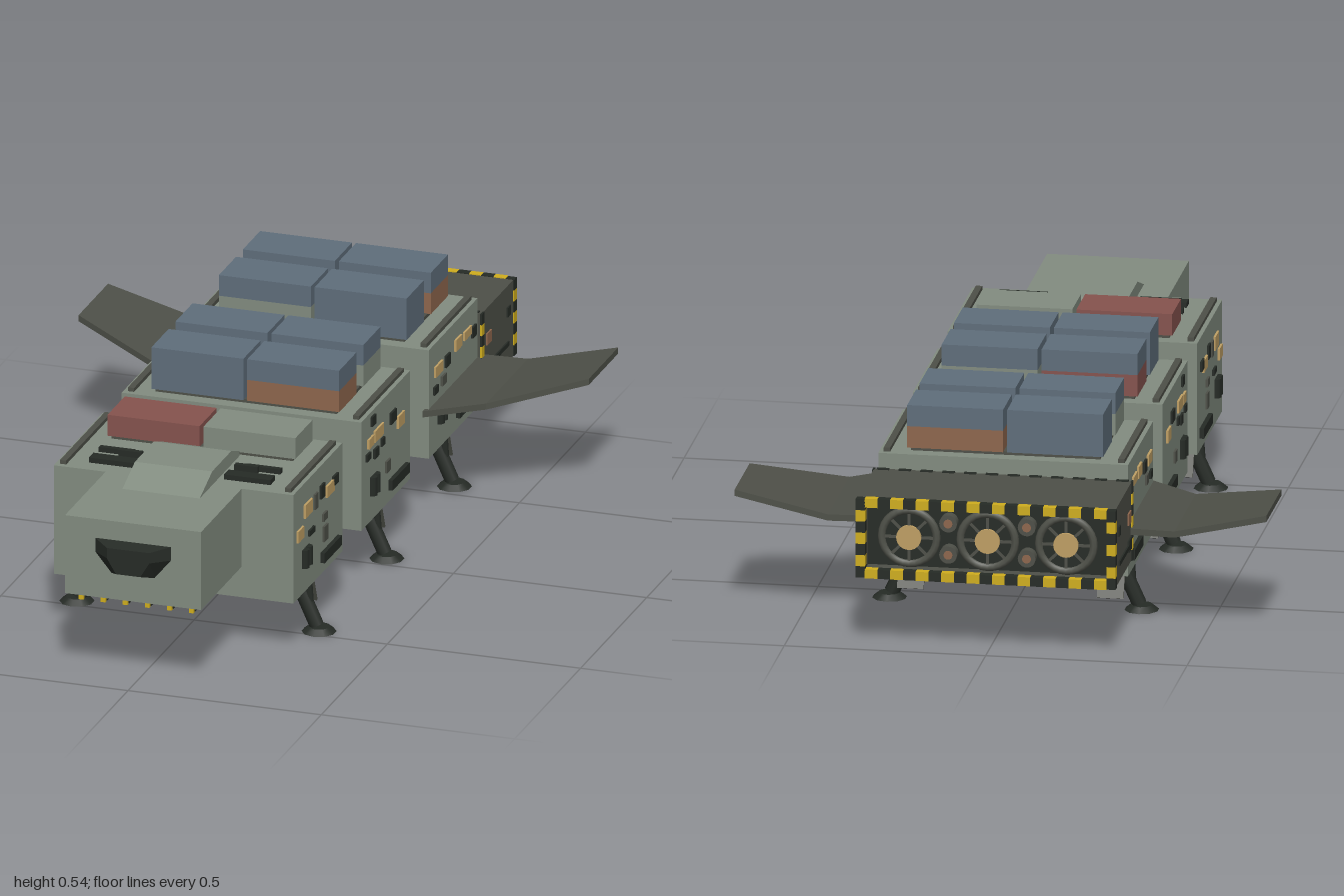
import * as THREE from 'three';

const mat = (name, color) => {
  const m = new THREE.MeshStandardMaterial({ color });
  m.name = name;
  return m;
};

export function createModel() {
  const hull = mat('hull green', 0x828c80);
  const olive = mat('dark olive', 0x4e5048);
  const black = mat('near black', 0x262b26);
  const blue = mat('container blue', 0x5f6e7b);
  const red = mat('container red', 0x86534e);
  const rust = mat('container rust', 0x8e664d);
  const tan = mat('tan panel', 0xbf9f64);
  const yellow = mat('warning yellow', 0xd0ae1e);

  const root = new THREE.Group();
  root.name = 'cargoShip';

  const add = (name, geo, m, x = 0, y = 0, z = 0, parent = root) => {
    const mesh = new THREE.Mesh(geo, m);
    mesh.name = name;
    mesh.position.set(x, y, z);
    parent.add(mesh);
    return mesh;
  };
  const box = (name, m, w, h, d, x, y, z, parent) =>
    add(name, new THREE.BoxGeometry(w, h, d), m, x, y, z, parent);
  // Cylinder between two points
  const rod = (name, m, a, b, r, parent) => {
    const p = new THREE.Vector3(...a), q = new THREE.Vector3(...b), d = q.clone().sub(p);
    const mesh = add(name, new THREE.CylinderGeometry(r, r, d.length(), 8), m, 0, 0, 0, parent);
    mesh.position.copy(p).add(q).multiplyScalar(0.5);
    mesh.quaternion.setFromUnitVectors(new THREE.Vector3(0, 1, 0), d.normalize());
    return mesh;
  };
  // Solid skinned over equal cross-section rings, with end caps
  const loft = (rings, flip) => {
    const pos = [], n = rings[0].length;
    const tri = (a, b, c) => pos.push(...a, ...(flip ? c : b), ...(flip ? b : c));
    for (let i = 0; i < rings.length - 1; i++)
      for (let j = 0; j < n; j++) {
        const k = (j + 1) % n, A = rings[i], B = rings[i + 1];
        tri(A[j], A[k], B[k]);
        tri(A[j], B[k], B[j]);
      }
    const L = rings[rings.length - 1];
    for (let j = 1; j < n - 1; j++) {
      tri(rings[0][0], rings[0][j + 1], rings[0][j]);
      tri(L[0], L[j], L[j + 1]);
    }
    const g = new THREE.BufferGeometry();
    g.setAttribute('position', new THREE.Float32BufferAttribute(pos, 3));
    g.computeVertexNormals();
    return g;
  };

  // Side details per module: [material, z offset, y, length, height]
  const details = [
    [[tan, 0.14, 0.305, 0.045, 0.03], [tan, 0.08, 0.352, 0.055, 0.035], [tan, -0.085, 0.343, 0.055, 0.03],
      [black, -0.028, 0.358, 0.03, 0.035], [black, -0.125, 0.352, 0.035, 0.025], [olive, 0.022, 0.35, 0.022, 0.04],
      [black, 0.055, 0.283, 0.04, 0.015], [olive, -0.045, 0.285, 0.03, 0.02], [olive, -0.05, 0.24, 0.03, 0.04]],
    [[tan, 0.06, 0.353, 0.065, 0.03], [tan, 0.12, 0.35, 0.04, 0.025], [tan, -0.107, 0.325, 0.048, 0.032],
      [black, 0.1, 0.4, 0.03, 0.025], [black, -0.048, 0.355, 0.042, 0.03], [black, 0.14, 0.318, 0.03, 0.018],
      [black, 0.08, 0.308, 0.03, 0.025], [black, 0.03, 0.318, 0.022, 0.02], [olive, -0.01, 0.24, 0.03, 0.03]],
    [[tan, 0.118, 0.352, 0.055, 0.028], [tan, -0.03, 0.365, 0.045, 0.03], [tan, -0.1, 0.365, 0.055, 0.022],
      [black, 0.05, 0.35, 0.035, 0.03], [black, -0.15, 0.352, 0.03, 0.028], [black, 0.14, 0.305, 0.03, 0.02],
      [olive, 0.08, 0.31, 0.03, 0.025], [olive, 0.01, 0.225, 0.03, 0.04]],
  ];
  // Containers per module: [side, row, lower colour, upper colour]
  const cargo = [
    [[-1, -1, red], [1, -1, hull]],
    [[-1, 1, blue, blue], [1, 1, rust, blue], [-1, -1, red, blue], [1, -1, hull, blue]],
    [[-1, 1, hull, blue], [1, 1, blue, blue], [-1, -1, blue, blue], [1, -1, rust, blue]],
  ];

  [0.47, -0.044, -0.555].forEach((zc, i) => {
    const g = new THREE.Group();
    g.name = 'cargoModule' + (i + 1);
    g.position.z = zc;
    root.add(g);
    box('moduleBody', hull, 0.62, 0.285, 0.37, 0, 0.2825, 0, g);
    for (const [s, row, low, high] of cargo[i]) {
      box('lowerContainer', low, 0.238, 0.055, 0.13, s * 0.124, 0.4605, row * 0.091, g);
      if (high) box('upperContainer', high, 0.238, 0.054, 0.13, s * 0.124, 0.515, row * 0.091, g);
    }
    box('cargoBed', olive, 0.47, 0.01, i ? 0.3 : 0.12, 0, 0.429, i ? 0 : -0.091, g);
    for (const s of [-1, 1]) {
      box('roofRail', olive, 0.016, 0.012, 0.34, s * 0.291, 0.429, 0, g);
      for (const [m, z, y, l, h] of details[i])
        box('sidePanel', m, 0.008, h, l, s * 0.3115, y, z, g);
      box('sideVent', black, 0.018, 0.026, 0.13, s * 0.312, 0.184, -0.085, g);
      for (const dz of [0.082, 0.108])
        rod('sideCanister', black, [s * 0.312, 0.207, dz], [s * 0.312, 0.255, dz], 0.013, g);
      // Landing gear with its bay door
      box('gearBay', black, 0.085, 0.006, 0.1, s * 0.25, 0.139, 0, g);
      rod('legStrut', black, [s * 0.25, 0.14, 0], [s * 0.307, 0.015, 0], 0.019, g);
      rod('legBrace', black, [s * 0.285, 0.14, 0], [s * 0.29, 0.07, 0], 0.01, g);
      add('foot', new THREE.CylinderGeometry(0.027, 0.043, 0.013, 10), black, s * 0.313, 0.0065, 0, g);
      const door = box('gearDoor', olive, 0.066, 0.1, 0.006, s * 0.248, 0.095, -0.061, g);
      door.rotation.x = 0.38;
    }
  });

  // Passages joining the modules
  for (const z of [0.213, -0.3]) {
    box('connector', olive, 0.31, 0.18, 0.16, 0, 0.286, z);
    for (const s of [-1, 1])
      for (const y of [0.212, 0.358]) box('connectorLatch', black, 0.018, 0.022, 0.02, s * 0.157, y, z);
  }

  // Cockpit, roof hump and tapered windshield
  box('cockpit', hull, 0.352, 0.205, 0.31, 0, 0.3225, 0.807);
  const hump = [[0.75, 0.42], [0.75, 0.425], [0.655, 0.461], [0.51, 0.461], [0.45, 0.438], [0.45, 0.42]];
  add('cockpitHump', loft([-0.1, 0.1].map(x => hump.map(([z, y]) => [x, y, z])), true), hull);
  const glass = [[-0.1, 0.376], [-0.1, 0.34], [-0.057, 0.288], [0.057, 0.288], [0.1, 0.34], [0.1, 0.376]];
  add('windshield', loft([
    glass.map(([x, y]) => [x, y, 0.96]),
    glass.map(([x, y]) => [x * 0.55, 0.345 + (y - 0.345) * 0.75, 1]),
  ]), black);

  // Row of guns below the cockpit
  for (let i = 0; i < 6; i++) {
    const x = (i - 2.5) * 0.057;
    box('gunPod', black, 0.016, 0.02, 0.11, x, 0.211, 0.875);
    box('gunTip', yellow, 0.012, 0.016, 0.01, x, 0.207, 0.934);
  }
  // Roof vents beside the hump and belly hatch
  for (const s of [-1, 1]) {
    box('roofVent', black, 0.12, 0.014, 0.035, s * 0.175, 0.431, 0.592);
    box('roofVent', black, 0.09, 0.014, 0.014, s * 0.19, 0.431, 0.527);
    box('roofVent', black, 0.06, 0.02, 0.014, s * 0.15, 0.432, 0.54);
  }
  box('bellyHatch', black, 0.09, 0.012, 0.09, 0, 0.136, 0.47);
  for (const d of [-0.026, 0, 0.026]) box('bellySlot', rust, 0.018, 0.006, 0.07, d, 0.13, 0.47);

  // Engine housing, open at the back
  for (const s of [-1, 1]) {
    box('engineSide', olive, 0.02, 0.2, 0.258, s * 0.31, 0.285, -0.869);
    box('enginePlate', olive, 0.6, 0.02, 0.258, 0, 0.285 + s * 0.09, -0.869);
    box('engineSlot', black, 0.006, 0.012, 0.14, s * 0.321, 0.234, -0.87);
    box('engineSlot', black, 0.006, 0.03, 0.04, s * 0.321, 0.235, -0.785);
    box('enginePanel', rust, 0.006, 0.03, 0.035, s * 0.321, 0.305, -0.79);
    box('engineSlot', black, 0.006, 0.025, 0.025, s * 0.321, 0.318, -0.94);
    // Warning stripes on the side edges, back and front
    for (let j = 0; j < 7; j++) {
      const y = 0.285 + (j - 3) * 0.0287, m = j % 2 ? yellow : black;
      box('warningStripe', m, 0.023, 0.0287, 0.02, s * 0.311, y, -0.99);
      box('warningStripe', m, 0.005, 0.0287, 0.02, s * 0.3205, y, -0.745);
    }
    // Warning stripes along the top and bottom back edges
    for (let j = 0; j < 19; j++)
      box('warningStripe', j % 2 ? black : yellow, 0.0316, 0.023, 0.02, (j - 9) * 0.0316, 0.285 + s * 0.0905, -0.99);
  }
  for (let j = 0; j < 12; j++)
    box('engineSeam', black, 0.03, 0.004, 0.01, (j - 5.5) * 0.054, 0.386, -0.746);
  box('engineBulkhead', black, 0.6, 0.16, 0.2, 0, 0.285, -0.85);

  // Thrusters: ring, dish, spokes and glowing core
  const disc = (name, m, r, d, x, y, z) => {
    const c = add(name, new THREE.CylinderGeometry(r, r, d, 24), m, x, y, z);
    c.rotation.x = Math.PI / 2;
  };
  for (const x of [-0.195, 0, 0.195]) {
    add('thrusterRing', new THREE.TorusGeometry(0.068, 0.01, 8, 28), olive, x, 0.285, -0.968);
    disc('thrusterDish', black, 0.062, 0.03, x, 0.285, -0.955);
    for (let k = 0; k < 4; k++) {
      const spoke = box('thrusterSpoke', olive, 0.126, 0.007, 0.01, x, 0.285, -0.968);
      spoke.rotation.z = k * Math.PI / 4;
    }
    disc('thrusterCore', tan, 0.031, 0.03, x, 0.285, -0.963);
  }
  for (const s of [-1, 1])
    for (const y of [0.245, 0.325]) {
      disc('smallNozzle', olive, 0.022, 0.03, s * 0.0975, y, -0.96);
      disc('smallNozzleCore', rust, 0.011, 0.034, s * 0.0975, y, -0.96);
    }

  // Wings with upturned tips: [x, y, front z, back z]
  const ribs = [[0.3, 0.262, -0.352, -0.762], [0.43, 0.262, -0.452, -0.769], [0.66, 0.317, -0.557, -0.78]];
  for (const s of [-1, 1]) {
    const rings = ribs.map(([x, y, f, b]) => [
      [s * x, y - 0.008, f], [s * x, y - 0.008, b], [s * x, y + 0.008, b], [s * x, y + 0.008, f]]);
    add(s > 0 ? 'leftWing' : 'rightWing', loft(rings, s < 0), olive);
  }
  return root;
}
